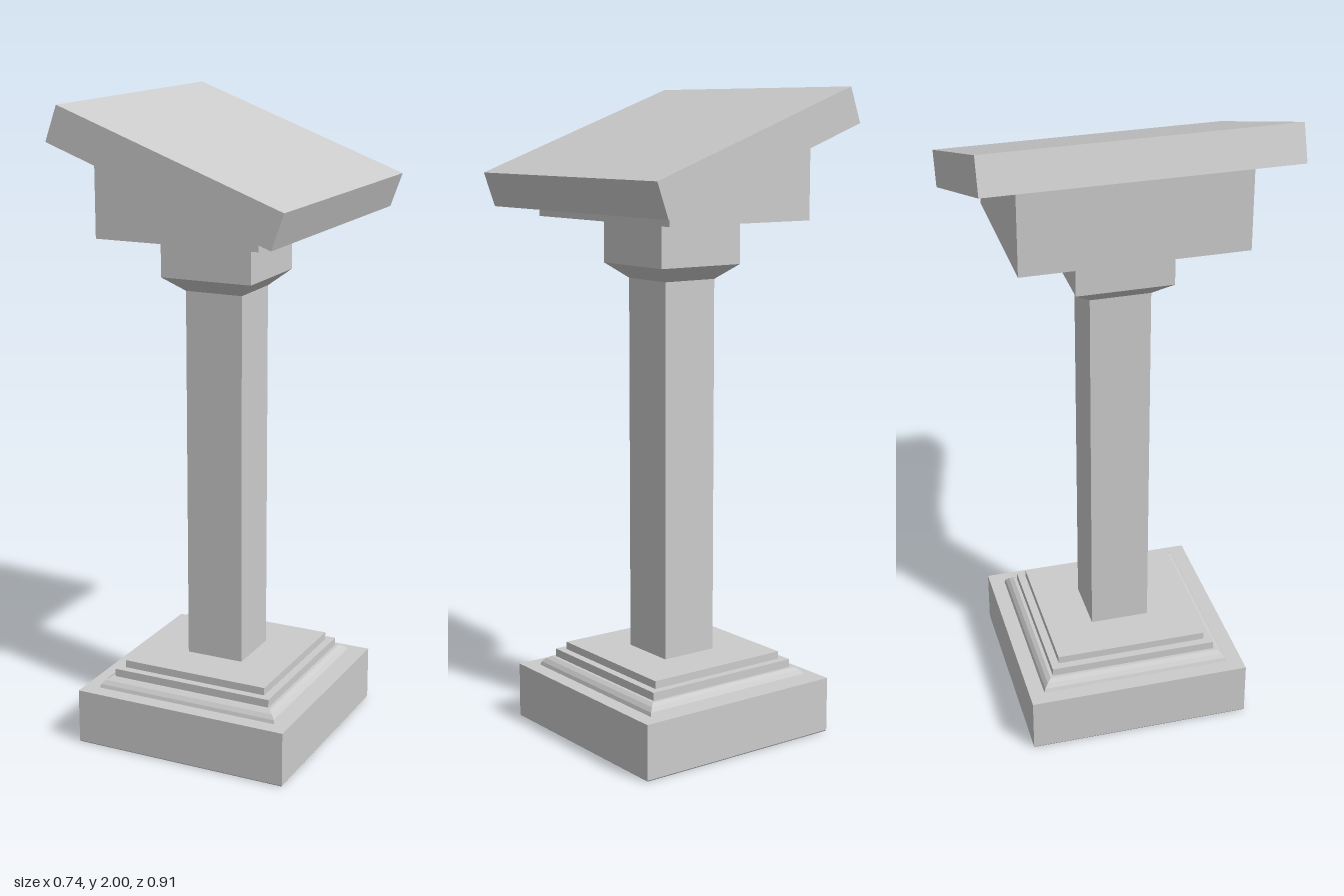
import * as THREE from 'three';

const material = new THREE.MeshStandardMaterial({ color: 0xcccccc, flatShading: true });

export function createModel() {
  const group = new THREE.Group();
  const axisX = -0.02; // the column stands slightly off the slab's centre

  function add(name, geometry, x = 0, y = 0) {
    const mesh = new THREE.Mesh(geometry, material);
    mesh.name = name;
    mesh.position.set(x, y, 0);
    group.add(mesh);
    return mesh;
  }

  // Square block turned from [half width, height] pairs
  function squareTurned(name, profile) {
    const points = profile.map(([half, y]) => new THREE.Vector2(half * Math.SQRT2, y));
    const geometry = new THREE.LatheGeometry(points, 4).rotateY(Math.PI / 4).toNonIndexed();
    geometry.computeVertexNormals();
    return add(name, geometry, axisX);
  }

  // Side outline in x and y, extruded symmetrically along z
  function extruded(name, outline, depth) {
    const shape = new THREE.Shape(outline.map(([x, y]) => new THREE.Vector2(x, y)));
    const geometry = new THREE.ExtrudeGeometry(shape, { depth, bevelEnabled: false });
    return add(name, geometry.translate(0, 0, -depth / 2));
  }

  // Plinth with a tiny softened lower edge
  squareTurned('plinth', [[0, 0], [0.347, 0], [0.35, 0.004], [0.35, 0.175], [0, 0.175]]);

  // Sloped moulding and two steps
  squareTurned('baseMoulding', [
    [0.302, 0.175], [0.298, 0.186], [0.288, 0.198], [0.275, 0.206],
    [0.265, 0.206], [0.265, 0.231], [0.24, 0.231], [0.24, 0.255], [0, 0.255],
  ]);

  // Square shaft
  squareTurned('shaft', [[0.093, 0.255], [0.093, 1.43]]);

  // Flared capital
  squareTurned('capital', [[0.093, 1.41], [0.093, 1.427], [0.148, 1.473], [0.148, 1.61]]);

  // Wedge that carries the sloping top
  extruded('wedgeSupport', [[-0.279, 1.61], [0.24, 1.61], [0.24, 1.672], [-0.279, 1.864]], 0.674);

  // Sloping slab
  extruded('slopingTop', [[-0.368, 1.895], [0.33, 1.638], [0.368, 1.743], [-0.33, 2.0]], 0.906);

  return group;
}
